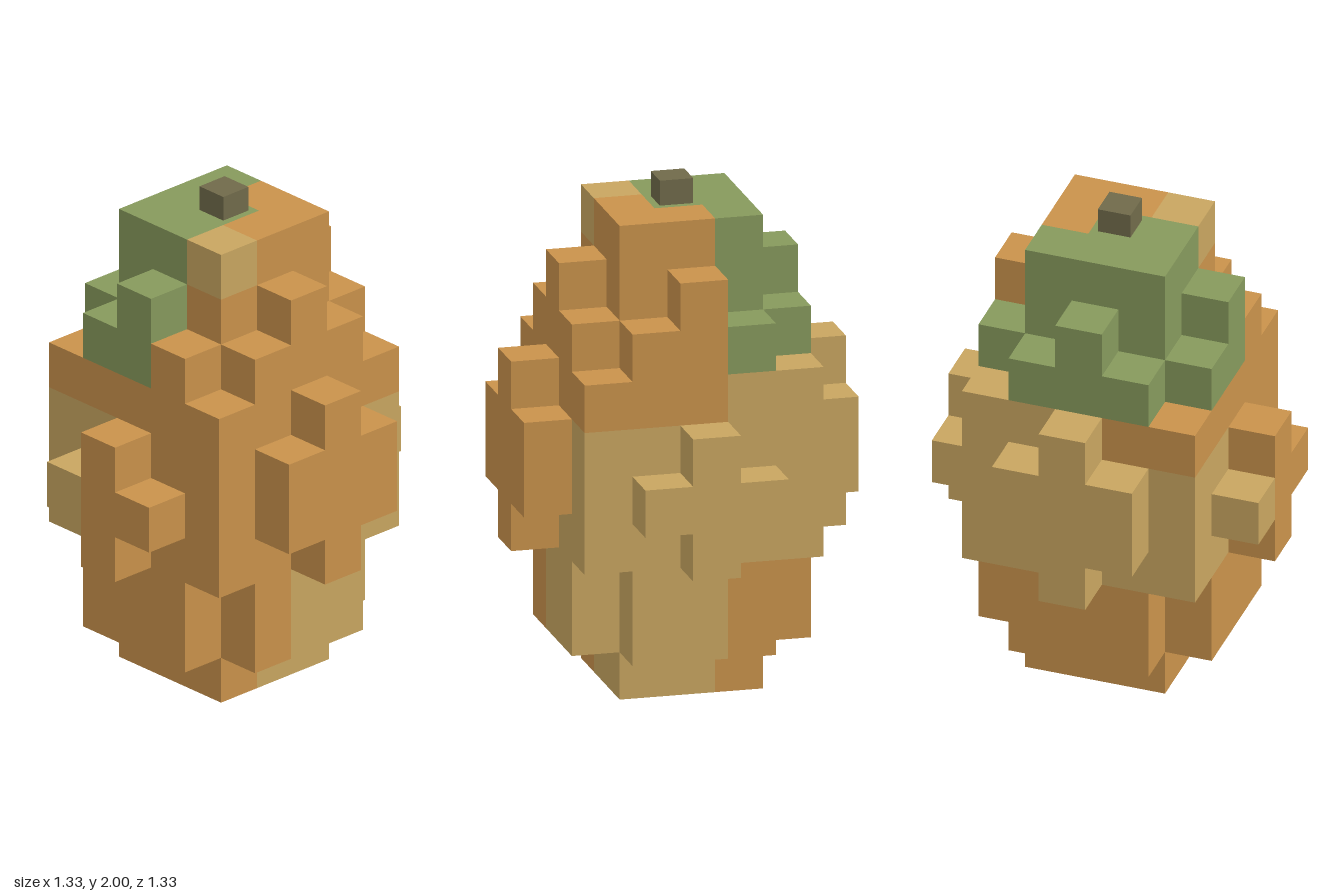
import * as THREE from 'three';
import { mergeGeometries } from 'three/addons/utils/BufferGeometryUtils.js';

const U = 0.19; // block size

const material = (name, color) => {
  const m = new THREE.MeshStandardMaterial({ color });
  m.name = name;
  return m;
};

// Layers from bottom to top; rows run back to front, letters run from -x to +x.
// o = orange, t = tan, g = green, . = empty
const foot = ['.......', '.......', '..ott..', '..ott..', '..ooo..', '.......', '.......'];
const lower = ['.......', '..ott..', '.ooott.', '.ooott.', '.ooooo.', '..ooo..', '.......'];
const LAYERS = [
  foot,
  lower,
  lower,
  ['...t...', '.ttttt.', '.ttttt.', 'ttttooo', '.ttooo.', '.ttooo.', '...o...'],
  ['..ttt..', '.ttttt.', 'ttttooo', 'tttoooo', 'tttoooo', '.ttooo.', '..too..'],
  ['...t...', '.ttttt.', 'ttttooo', 'tttoooo', 'tttoooo', '.ttooo.', '...o...'],
  ['.......', '.ttooo.', '.toooo.', 'ttooooo', '.ooooo.', '.ooooo.', '.......'],
  ['.......', '..goo..', '.ggooo.', '.ggooo.', '.gggoo.', '..ggo..', '.......'],
  ['.......', '...o...', '..goo..', '.ggooo.', '..ggo..', '...g...', '.......'],
  ['.......', '.......', '..goo..', '..ggo..', '..ggt..', '.......', '.......'],
];

const cell = (x, y, z) => LAYERS[y]?.[z + 3]?.[x + 3] ?? '.';

// Which named part a block belongs to
function partName(x, y, z) {
  if (z === 3) return 'frontCross';
  if (z === -3) return 'backCross';
  if (x === 3) return 'leftCross';
  if (x === -3) return 'rightCross';
  if (y === 0) return 'base';
  if (y < 3) return 'lowerBody';
  if (y < 7) return 'middleBody';
  return y < 9 ? 'shoulders' : 'crown';
}

// One square per block side: outward direction and the turn that faces it there
const SIDES = [
  [1, 0, 0, 0, Math.PI / 2],
  [-1, 0, 0, 0, -Math.PI / 2],
  [0, 1, 0, -Math.PI / 2, 0],
  [0, -1, 0, Math.PI / 2, 0],
  [0, 0, 1, 0, 0],
  [0, 0, -1, 0, Math.PI],
];

function blockSide(x, y, z, [dx, dy, dz, rx, ry]) {
  return new THREE.PlaneGeometry(U, U)
    .rotateX(rx)
    .rotateY(ry)
    .translate((x + dx / 2) * U, (y + 0.5 + dy / 2) * U, (z + dz / 2) * U);
}

export function createModel() {
  const model = new THREE.Group();
  model.name = 'blockEgg';

  const materials = {
    o: material('orange', 0xc9924b),
    t: material('tan', 0xc8a560),
    g: material('green', 0x86995c),
  };
  const stemMaterial = material('darkOlive', 0x706a4a);

  // Collect the exposed block sides by part and colour
  const parts = {};
  for (let y = 0; y < LAYERS.length; y++) {
    for (let z = -3; z <= 3; z++) {
      for (let x = -3; x <= 3; x++) {
        const colour = cell(x, y, z);
        if (colour === '.') continue;
        const part = (parts[partName(x, y, z)] ??= {});
        for (const side of SIDES) {
          if (cell(x + side[0], y + side[1], z + side[2]) !== '.') continue;
          (part[colour] ??= []).push(blockSide(x, y, z, side));
        }
      }
    }
  }

  for (const [name, colours] of Object.entries(parts)) {
    const group = new THREE.Group();
    group.name = name;
    for (const [colour, sides] of Object.entries(colours)) {
      const mesh = new THREE.Mesh(mergeGeometries(sides), materials[colour]);
      mesh.name = `${name} ${materials[colour].name}`;
      group.add(mesh);
    }
    model.add(group);
  }

  // Stem on top
  const stem = new THREE.Mesh(new THREE.BoxGeometry(0.133, 0.1, 0.133), stemMaterial);
  stem.name = 'stem';
  stem.position.y = 1.95;
  model.add(stem);

  return model;
}
